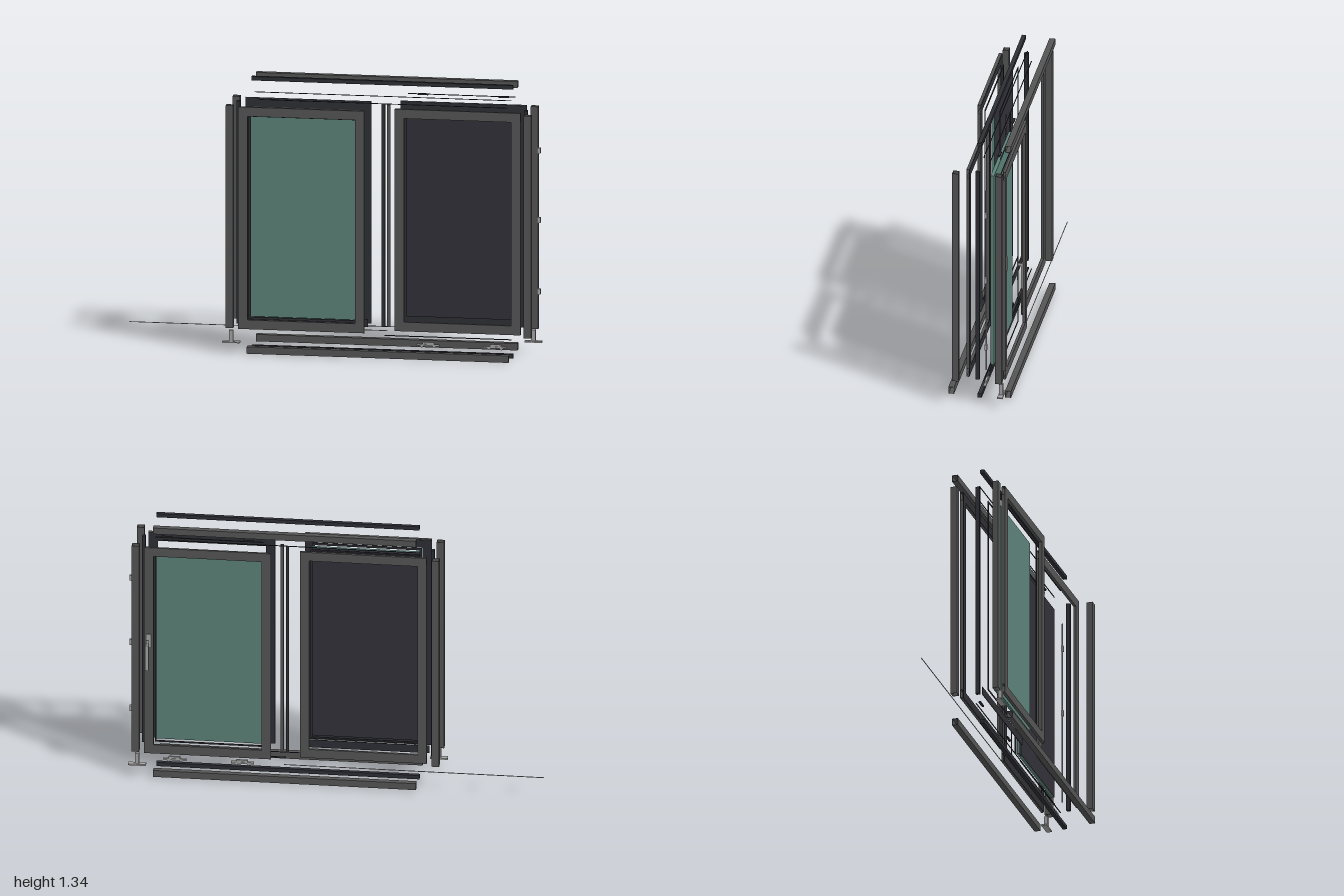
import * as THREE from 'three';

const mat = (name, color) => {
  const m = new THREE.MeshStandardMaterial({ color });
  m.name = name;
  return m;
};

export function createModel() {
  const root = new THREE.Group();
  root.name = 'explodedSlidingWindow';
  const grey = mat('frameGrey', 0x555555);
  const dark = mat('darkProfile', 0x2e2f35);
  const teal = mat('tealGlass', 0x5c8279);
  const panel = mat('darkGlassBack', 0x323139);
  const metal = mat('lightMetal', 0xa6a6a6);

  // Solid bar given by its limits on each axis
  const box = (name, m, x0, x1, y0, y1, z0, z1, parent = root) => {
    const mesh = new THREE.Mesh(new THREE.BoxGeometry(x1 - x0, y1 - y0, z1 - z0), m);
    mesh.position.set((x0 + x1) / 2, (y0 + y1) / 2, (z0 + z1) / 2);
    mesh.name = name;
    parent.add(mesh);
    return mesh;
  };

  // Hollow, open-ended profile running along 'x' or 'y'
  const tube = (name, m, axis, x0, x1, y0, y1, z0, z1, parent = root) => {
    const long = axis === 'x' ? x1 - x0 : y1 - y0;
    const a = (z1 - z0) / 2;
    const b = (axis === 'x' ? y1 - y0 : x1 - x0) / 2;
    const t = 0.0015;
    const ring = (u, v) => [[-u, -v], [u, -v], [u, v], [-u, v]].map(p => new THREE.Vector2(...p));
    const shape = new THREE.Shape(ring(a, b));
    shape.holes.push(new THREE.Path(ring(a - t, b - t)));
    const geo = new THREE.ExtrudeGeometry(shape, { depth: long, bevelEnabled: false });
    geo.translate(0, 0, -long / 2);
    geo.rotateY(Math.PI / 2);
    if (axis === 'y') geo.rotateZ(Math.PI / 2);
    const mesh = new THREE.Mesh(geo, m);
    mesh.position.set((x0 + x1) / 2, (y0 + y1) / 2, (z0 + z1) / 2);
    mesh.name = name;
    parent.add(mesh);
  };

  // Rectangular ring of flat bars
  const ringFrame = (name, m, x0, x1, y0, y1, z0, z1, w) => {
    const g = new THREE.Group();
    g.name = name;
    box('bottom', m, x0, x1, y0, y0 + w, z0, z1, g);
    box('top', m, x0, x1, y1 - w, y1, z0, z1, g);
    box('sideA', m, x0, x0 + w, y0 + w, y1 - w, z0, z1, g);
    box('sideB', m, x1 - w, x1, y0 + w, y1 - w, z0, z1, g);
    root.add(g);
  };

  // Sash: full-width hollow rails, stiles between them, dark lining on the inner side
  const sash = (name, x0, z0, z1, inner) => {
    const g = new THREE.Group();
    g.name = name;
    const x1 = x0 + 0.61, y0 = 0.125, y1 = 1.212, w = 0.045;
    tube('bottomRail', grey, 'x', x0, x1, y0, y0 + w, z0, z1, g);
    tube('topRail', grey, 'x', x0, x1, y1 - w, y1, z0, z1, g);
    tube('stileA', grey, 'y', x0, x0 + w, y0 + w, y1 - w, z0, z1, g);
    tube('stileB', grey, 'y', x1 - w, x1, y0 + w, y1 - w, z0, z1, g);
    root.add(g);
    const zi = inner > 0 ? z1 : z0 - 0.002;
    ringFrame(name + 'Lining', dark, x0 + 0.002, x1 - 0.002, y0 + 0.002, y1 - 0.002, zi, zi + 0.002, w - 0.004);
  };
  sash('frontLeftSash', -0.435, 0.145, 0.16, -1);
  sash('frontRightSash', 0.31, 0.075, 0.088, -1);
  sash('backLeftSash', -0.435, -0.065, -0.052, 1);
  sash('backRightSash', 0.31, -0.102, -0.09, 1);

  // Glass units with a dark inner face
  box('frontGlass', teal, -0.385, 0.135, 0.175, 1.17, 0.086, 0.099);
  box('frontGlassBack', panel, -0.385, 0.135, 0.175, 1.17, 0.084, 0.086);
  box('backGlass', teal, 0.35, 0.872, 0.175, 1.165, -0.038, -0.022);
  box('backGlassFront', panel, 0.35, 0.872, 0.175, 1.165, -0.022, -0.02);

  // Gaskets
  ringFrame('frontGasket', dark, -0.39, 0.138, 0.168, 1.172, 0.129, 0.132, 0.012);
  ringFrame('innerGasket', dark, -0.385, 0.137, 0.172, 1.17, 0.057, 0.06, 0.008);
  ringFrame('backGasket', dark, 0.35, 0.872, 0.172, 1.17, -0.068, -0.065, 0.008);

  // Corner posts and dark side tracks
  const posts = [[-0.498, -0.462, 0.117, 0.147], [-0.498, -0.462, -0.093, -0.061],
    [0.945, 0.981, 0.117, 0.147], [0.945, 0.981, -0.093, -0.061]];
  for (const [x0, x1, z0, z1] of posts) tube('cornerPost', grey, 'y', x0, x1, 0.125, 1.214, z0, z1);
  box('leftTrack', dark, -0.462, -0.445, 0.125, 1.214, 0.02, 0.04);
  box('rightTrack', dark, 0.928, 0.945, 0.125, 1.214, 0.02, 0.04);

  // Horizontal covers and tracks above and below
  tube('backTopCover', grey, 'x', -0.39, 0.876, 1.295, 1.327, -0.121, -0.092);
  tube('backBottomCover', grey, 'x', -0.39, 0.876, 0.01, 0.044, -0.121, -0.092);
  tube('frontBottomCover', grey, 'x', -0.39, 0.876, 0.01, 0.044, 0.155, 0.183);
  box('topTrack', dark, -0.39, 0.876, 1.317, 1.336, 0.021, 0.041);
  box('bottomTrack', dark, -0.39, 0.876, 0, 0.02, 0.021, 0.041);

  // Centre interlocks
  box('darkInterlock', dark, 0.233, 0.249, 0.125, 1.214, -0.012, -0.006);
  box('greyInterlock', grey, 0.261, 0.277, 0.125, 1.214, 0.004, 0.009);

  // Thin strips and draw wire
  box('innerBottomStrip', dark, -0.435, 0.175, 0.13, 0.17, 0.044, 0.047);
  box('topGuide', dark, -0.38, 0.865, 1.254, 1.257, 0.011, 0.015);
  box('backTopGuide', dark, 0.35, 0.87, 1.254, 1.257, -0.072, -0.066);
  box('bottomGuide', dark, 0.25, 0.865, 0.083, 0.087, 0.011, 0.015);
  box('upperSeal', dark, -0.36, 0.84, 1.212, 1.215, -0.012, -0.008);
  box('lowerSeal', dark, -0.36, 0.84, 0.122, 0.125, -0.012, -0.008);
  box('drawWire', metal, -1, 0.25, 0.087, 0.09, -0.077, -0.074);
  for (const x of [0.4, 0.79]) box('guideBlock', dark, x, x + 0.05, 1.254, 1.261, -0.062, -0.05);
  for (const x of [-0.355, 0.06]) box('sealBlock', dark, x, x + 0.05, 0.126, 0.134, 0.002, 0.012);

  // Roller carriages
  for (const x of [0.46, 0.785]) {
    const g = new THREE.Group();
    g.name = 'rollerCarriage';
    box('carriageBody', metal, x - 0.055, x + 0.055, 0.042, 0.05, 0.006, 0.02, g);
    box('carriageTop', metal, x - 0.025, x + 0.03, 0.05, 0.06, 0.008, 0.018, g);
    for (const d of [-0.03, 0.03]) {
      const wheel = new THREE.Mesh(new THREE.CylinderGeometry(0.008, 0.008, 0.01, 16), metal);
      wheel.rotation.x = Math.PI / 2;
      wheel.position.set(x + d, 0.041, 0.013);
      wheel.name = 'wheel';
      g.add(wheel);
    }
    root.add(g);
  }

  // Feet under two opposite posts
  for (const [x, z] of [[-0.47, 0.15], [0.955, -0.087]]) {
    const g = new THREE.Group();
    g.name = 'foot';
    box('footPlate', metal, x - 0.042, x + 0.042, 0.055, 0.062, z - 0.013, z + 0.013, g);
    box('footStem', metal, x - 0.01, x + 0.01, 0.062, 0.117, z - 0.009, z + 0.009, g);
    root.add(g);
  }

  // Handle on the back sash
  box('handleBase', metal, 0.885, 0.909, 0.69, 0.755, -0.108, -0.102);
  box('handlePlate', metal, 0.89, 0.904, 0.645, 0.748, -0.158, -0.155);
  box('handleNeck', metal, 0.892, 0.902, 0.718, 0.73, -0.175, -0.158);
  box('handleLever', metal, 0.889, 0.905, 0.6, 0.732, -0.184, -0.175);

  // Locking strip with keepers
  box('lockStrip', metal, 0.986, 0.99, 0.2, 1.14, -0.022, -0.016);
  for (const y of [0.32, 0.67, 1.01]) box('lockKeeper', metal, 0.984, 1, y - 0.014, y + 0.014, -0.025, -0.013);

  return root;
}
